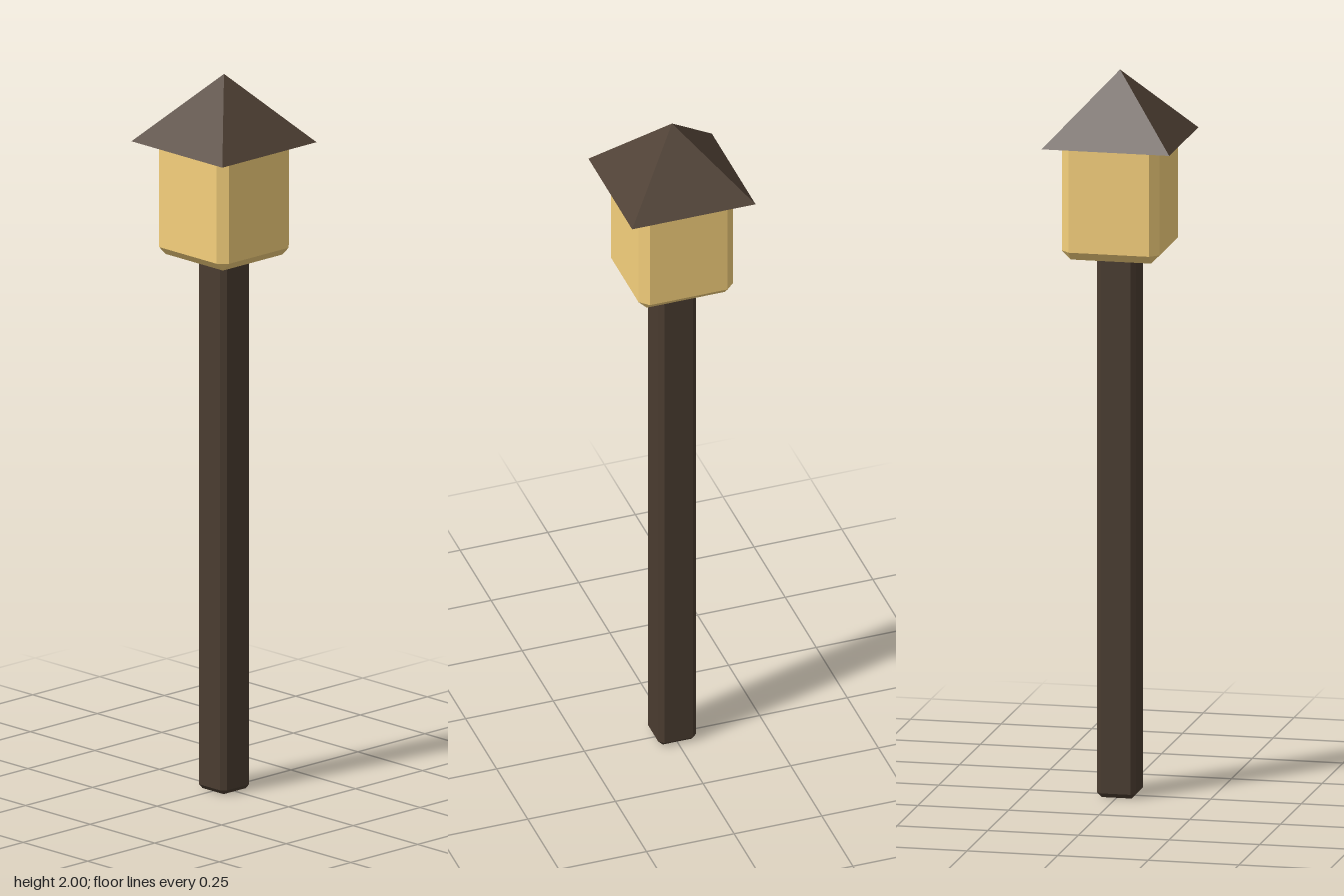
import * as THREE from 'three';
import { ConvexGeometry } from 'three/addons/geometries/ConvexGeometry.js';

// Box standing on y0..y1 with every edge cut by a flat chamfer c
function chamferBox(half, y0, y1, c) {
  const h = (y1 - y0) / 2;
  const points = [];
  for (const sx of [-1, 1]) for (const sy of [-1, 1]) for (const sz of [-1, 1]) {
    for (let axis = 0; axis < 3; axis++) {
      const inset = [c, c, c];
      inset[axis] = 0;
      points.push(new THREE.Vector3(sx * (half - inset[0]), sy * (h - inset[1]), sz * (half - inset[2])));
    }
  }
  return new ConvexGeometry(points).translate(0, (y0 + y1) / 2, 0);
}

export function createModel() {
  const group = new THREE.Group();
  const add = (name, geometry, color) => {
    const material = new THREE.MeshStandardMaterial({ color, flatShading: true });
    const mesh = new THREE.Mesh(geometry, material);
    mesh.name = name;
    group.add(mesh);
  };

  // Square post, its top just inside the lamp
  add('post', chamferBox(0.054, 0, 1.51, 0.013), 0x4a3c30);

  // Glowing lamp box
  add('lampBox', chamferBox(0.135, 1.495, 1.825, 0.024), 0xf5d07c);

  // Four-sided pyramid roof with a closed underside
  const roof = new THREE.ConeGeometry(0.176 * Math.SQRT2, 0.19, 4);
  roof.rotateY(Math.PI / 4).translate(0, 1.905, 0);
  add('roof', roof, 0x4f4034);

  return group;
}
